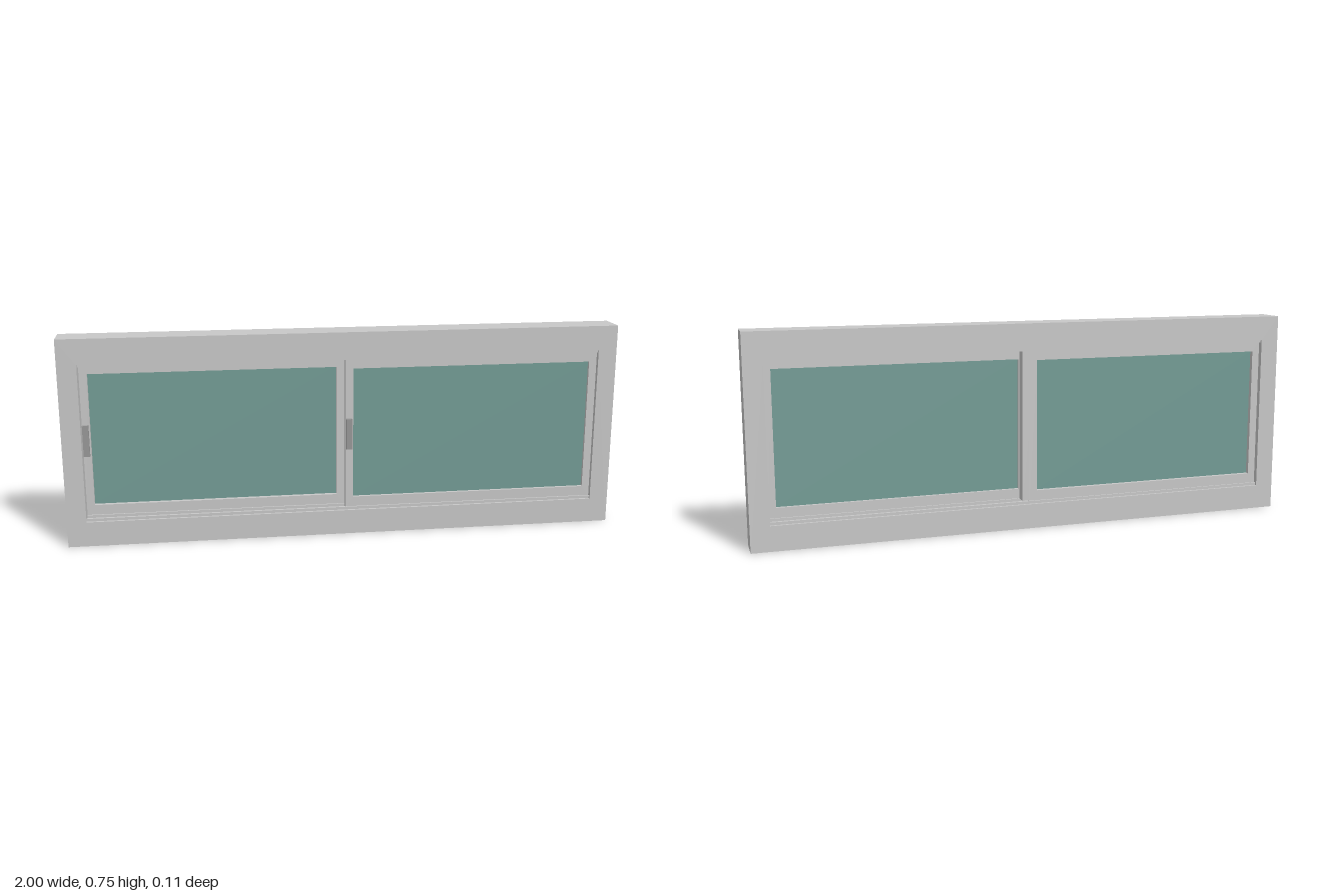
import * as THREE from 'three';

export function createModel() {
  const model = new THREE.Group();
  model.name = 'slidingWindow';
  const material = (name, color) => {
    const m = new THREE.MeshStandardMaterial({ color });
    m.name = name;
    return m;
  };
  const aluminium = material('light grey aluminium', 0xc8c8c8);
  const glass = material('green glass', 0x739c95);
  const handleGrey = material('handle grey', 0x989898);

  const box = (name, parent, mat, x0, x1, y0, y1, z0, z1) => {
    const mesh = new THREE.Mesh(new THREE.BoxGeometry(x1 - x0, y1 - y0, z1 - z0), mat);
    mesh.position.set((x0 + x1) / 2, (y0 + y1) / 2, (z0 + z1) / 2);
    mesh.name = name;
    parent.add(mesh);
    return mesh;
  };

  // Rectangular ring with a rectangular hole, extruded from z0 to z1
  const ring = (name, parent, [x0, x1, y0, y1], [a0, a1, b0, b1], z0, z1) => {
    const rect = (P, l, r, b, t) => new P([
      new THREE.Vector2(l, b), new THREE.Vector2(r, b),
      new THREE.Vector2(r, t), new THREE.Vector2(l, t),
    ]);
    const shape = rect(THREE.Shape, x0, x1, y0, y1);
    shape.holes.push(rect(THREE.Path, a0, a1, b0, b1));
    const geo = new THREE.ExtrudeGeometry(shape, { depth: z1 - z0, bevelEnabled: false });
    geo.translate(0, 0, z0);
    const mesh = new THREE.Mesh(geo, aluminium);
    mesh.name = name;
    parent.add(mesh);
  };

  // Outer frame
  ring('outerFrame', model, [-1, 1, 0, 0.75], [-0.932, 0.932, 0.09, 0.66], -0.055, 0.055);

  // Guide rails along the sill and the head
  for (const z of [-0.043, 0.005, 0.043]) {
    box('sillRail', model, aluminium, -0.932, 0.932, 0.09, 0.1, z - 0.003, z + 0.003);
    box('headRail', model, aluminium, -0.932, 0.932, 0.65, 0.66, z - 0.003, z + 0.003);
  }

  // Sliding sashes: the left-hand one runs behind the right-hand one
  const addSash = (name, x0, x1, z0, z1) => {
    const sash = new THREE.Group();
    sash.name = name;
    model.add(sash);
    ring('sashFrame', sash, [x0, x1, 0.094, 0.656], [x0 + 0.028, x1 - 0.028, 0.136, 0.616], z0, z1);
    const mid = (z0 + z1) / 2;
    box('glassPane', sash, glass, x0 + 0.028, x1 - 0.028, 0.136, 0.616, mid - 0.004, mid + 0.004);
    // Pull handle on the leading stile
    box('handle', sash, handleGrey, x0 + 0.001, x0 + 0.023, 0.32, 0.433, z1, z1 + 0.012);
  };
  addSash('rearSash', -0.932, 0, -0.037, 0.002);
  addSash('frontSash', 0, 0.932, 0.008, 0.039);

  // Interlocking stile behind the meeting line
  box('meetingStile', model, aluminium, -0.028, 0.026, 0.1, 0.65, -0.034, 0.0);

  return model;
}
